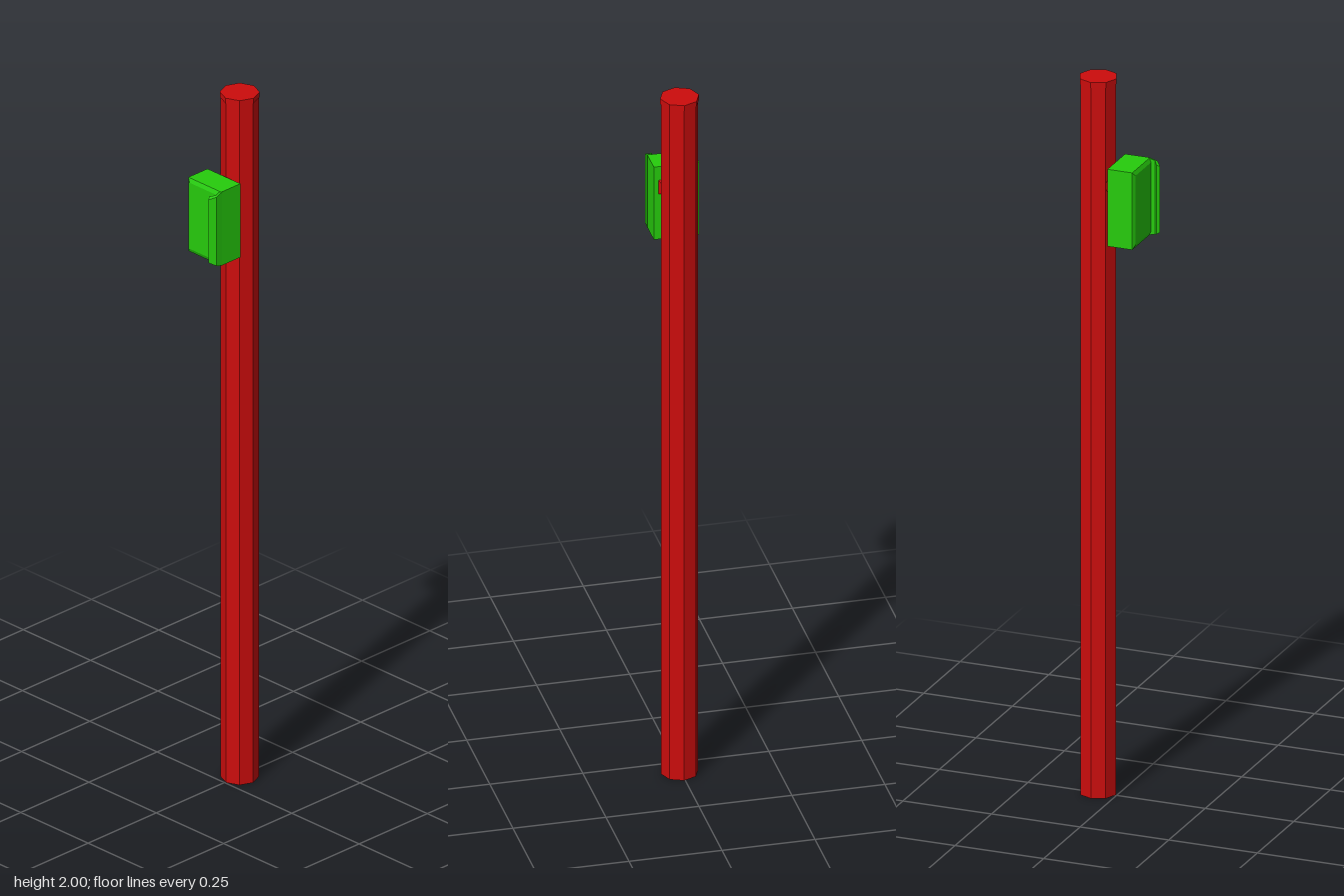
import * as THREE from 'three';

const red = new THREE.MeshStandardMaterial({ color: 0xcc0c0c, flatShading: true });
const green = new THREE.MeshStandardMaterial({ color: 0x26cc0c, flatShading: true });

// Moves every vertex by a rule, then rebuilds faceted normals
function reshape(geometry, rule) {
  const geo = geometry.index ? geometry.toNonIndexed() : geometry;
  const p = geo.attributes.position;
  const v = new THREE.Vector3();
  for (let i = 0; i < p.count; i++) {
    rule(v.fromBufferAttribute(p, i));
    p.setXYZ(i, v.x, v.y, v.z);
  }
  geo.computeVertexNormals();
  return geo;
}

export function createModel() {
  const group = new THREE.Group();
  const add = (name, geometry, material, x, y, z) => {
    const mesh = new THREE.Mesh(geometry, material);
    mesh.name = name;
    mesh.position.set(x, y, z);
    group.add(mesh);
  };
  const midY = 1.663, boxH = 0.215;

  // Octagonal pole with a slightly wider cap
  add('pole', new THREE.CylinderGeometry(0.05, 0.05, 1.985, 8), red, 0.003, 0.9925, -0.053);
  add('poleCap', new THREE.CylinderGeometry(0.052, 0.052, 0.015, 8), red, 0.003, 1.9925, -0.053);

  // Short horizontal bracket with slanted ends, half sunk into the box
  const bracket = new THREE.CylinderGeometry(0.02, 0.02, 0.084, 8).rotateZ(Math.PI / 2);
  add('bracket', reshape(bracket, v => {
    v.x = Math.sign(v.x) * (0.042 + Math.min(v.z, 0) * 0.4);
  }), red, 0.004, 1.71, 0);

  // Box with a shallow bevel around its front face
  const box = new THREE.BoxGeometry(0.122, boxH, 0.075, 1, 1, 2);
  add('box', reshape(box, v => {
    if (Math.abs(v.z) < 0.01) v.z = 0.0325;
    else if (v.z > 0) {
      v.y -= Math.sign(v.y) * 0.011;
      if (v.x < 0) v.x += 0.01;
    }
  }), green, -0.002, midY, 0.0375);

  // Bent lip along one front edge, its ends tapering towards the tip
  const profile = [
    [0.06, 0.068], [0.061, 0.09], [0.046, 0.104],
    [0.04, 0.096], [0.055, 0.086], [0.054, 0.068],
  ];
  const shape = new THREE.Shape(profile.map(([x, z]) => new THREE.Vector2(x, -z)));
  const lip = new THREE.ExtrudeGeometry(shape, { depth: boxH, bevelEnabled: false })
    .rotateX(-Math.PI / 2).translate(0, -boxH / 2, 0);
  add('lip', reshape(lip, v => {
    v.y -= Math.sign(v.y) * Math.max(0, v.z - 0.078) * 0.6;
  }), green, 0, midY, 0);

  return group;
}
